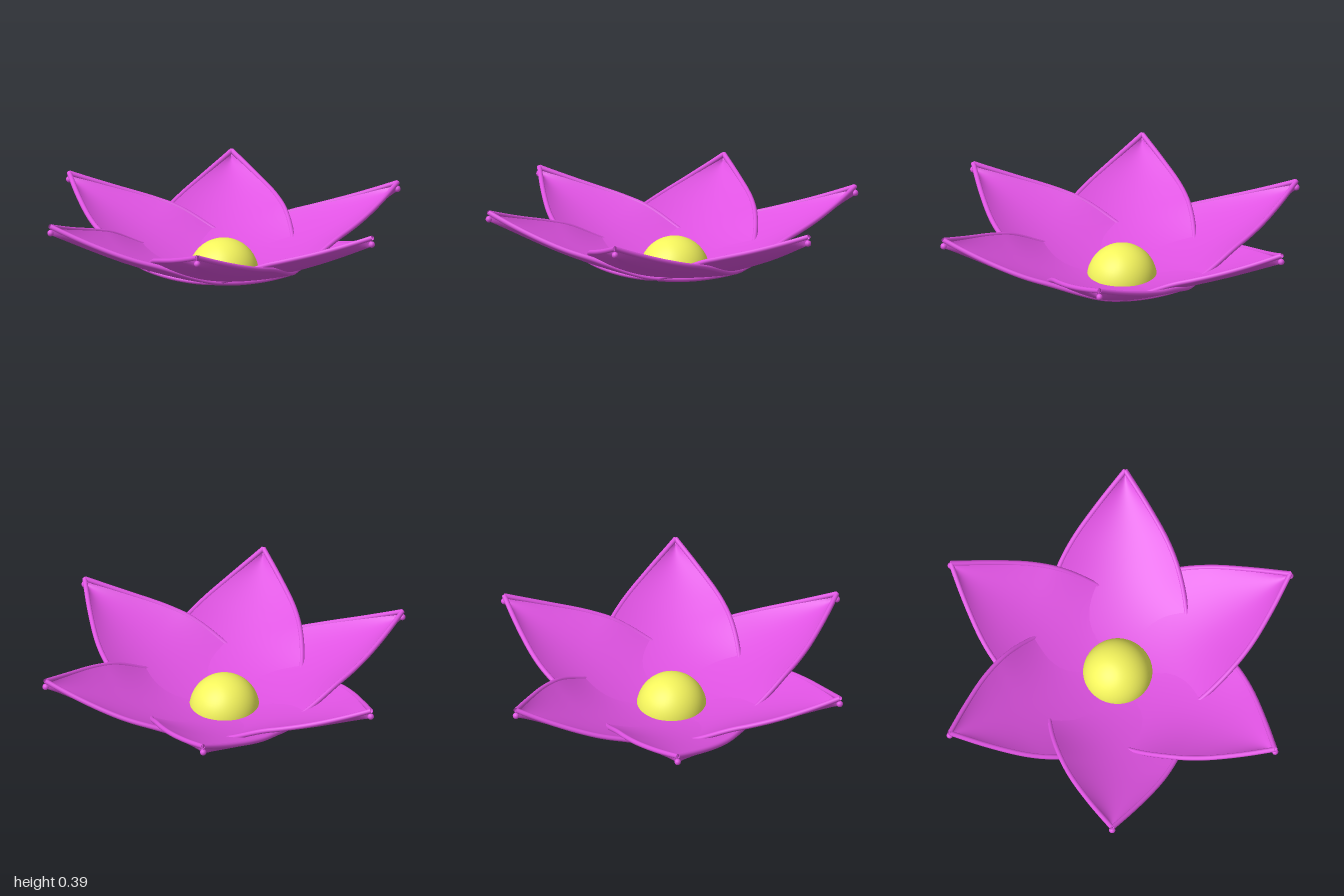
import * as THREE from 'three';

const petalMaterial = new THREE.MeshStandardMaterial({ color: 0xdf52e2, side: THREE.DoubleSide });
const centreMaterial = new THREE.MeshStandardMaterial({ color: 0xf3f35c });

// Half outline of a petal: x = half width, y = distance along its axis, from base to tip
const outline = new THREE.SplineCurve([
  [0.36, -0.2], [0.38, 0.1], [0.355, 0.33], [0.31, 0.5], [0.235, 0.66], [0.12, 0.83], [0, 0.985],
].map(([w, a]) => new THREE.Vector2(w, a)));

// Point on a petal pointing to +z: t runs base to tip, s runs -1 to 1 across
function petalPoint(t, s) {
  const { x: w, y: z } = outline.getPoint(t);
  const x = s * w * (s > 0 ? 1.06 : 0.96);
  const bowl = 0.012 + 0.55 * (Math.sqrt(x * x + z * z + 0.25) - 0.5);
  const blend = THREE.MathUtils.smoothstep(z, 0.2, 0.55);
  const cup = blend * (0.035 * s * s - 0.015 * s * Math.min(1, w * 4)); // raised edges, one side higher
  const sink = (1 - blend) * 0.017 * s * s;                             // base tucks under its neighbours
  return new THREE.Vector3(x, bowl + cup - sink, z);
}

// Upper or lower skin of a petal, closing at the base
function skinGeometry(offset) {
  const g = new THREE.PlaneGeometry(1, 1, 28, 40);
  const pos = g.attributes.position;
  for (let i = 0; i < pos.count; i++) {
    const t = pos.getY(i) + 0.5;
    const p = petalPoint(t, pos.getX(i) * 2);
    pos.setXYZ(i, p.x, p.y + offset * Math.min(1, t * 20), p.z);
  }
  g.computeVertexNormals();
  return g;
}

function rimCurve(side) {
  const points = [];
  for (let i = 0; i <= 24; i++) points.push(petalPoint(i / 24, side));
  return new THREE.CatmullRomCurve3(points);
}

function add(parent, name, geometry, material, position) {
  const mesh = new THREE.Mesh(geometry, material);
  mesh.name = name;
  if (position) mesh.position.copy(position);
  parent.add(mesh);
}

export function createModel() {
  const flower = new THREE.Group();
  flower.name = 'flower';

  const upper = skinGeometry(0.011);
  const lower = skinGeometry(-0.011);
  const rims = [-1, 1].map((side) => new THREE.TubeGeometry(rimCurve(side), 64, 0.013, 10));
  const rimEnd = new THREE.SphereGeometry(0.013, 10, 8);
  const tip = new THREE.SphereGeometry(0.017, 12, 8);

  // Six overlapping petals, slightly unevenly spaced
  [-1.4, 61.4, 125, 181.7, 242, 299.5].forEach((degrees, i) => {
    const petal = new THREE.Group();
    petal.name = `petal${i + 1}`;
    petal.rotation.y = THREE.MathUtils.degToRad(degrees);
    add(petal, 'petalUpperSkin', upper, petalMaterial);
    add(petal, 'petalLowerSkin', lower, petalMaterial);
    [-1, 1].forEach((side, j) => {
      add(petal, 'petalRim', rims[j], petalMaterial);
      add(petal, 'petalRimEnd', rimEnd, petalMaterial, petalPoint(0, side));
    });
    add(petal, 'petalTip', tip, petalMaterial, petalPoint(1, 0));
    flower.add(petal);
  });

  // Domed centre
  add(flower, 'flowerCentre', new THREE.SphereGeometry(0.182, 48, 20, 0, Math.PI * 2, 0, Math.PI / 2),
    centreMaterial, new THREE.Vector3(0, 0.011, 0));

  return flower;
}
